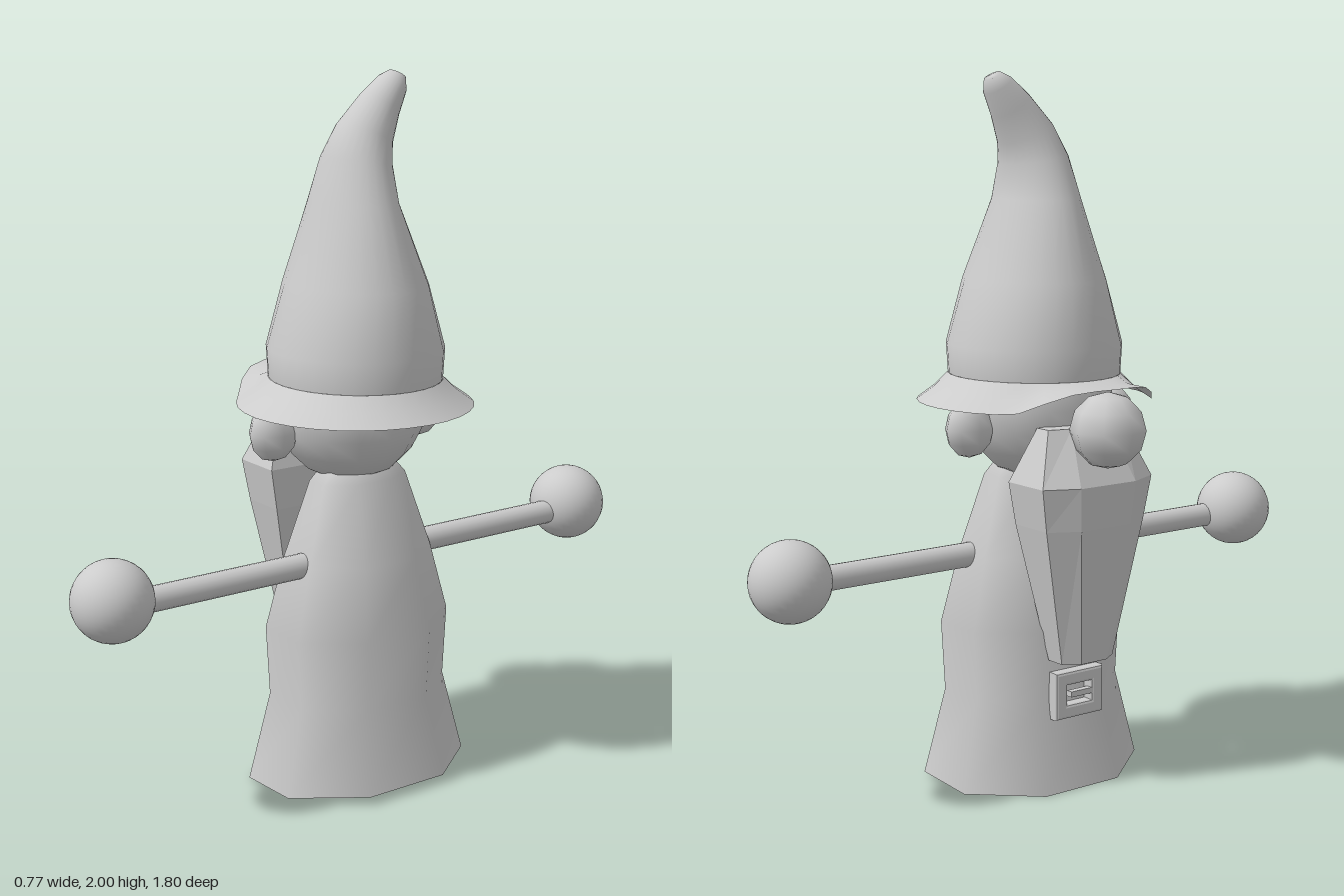
import * as THREE from 'three';

const grey = (opts = {}) => new THREE.MeshStandardMaterial({ color: 0xcccccc, ...opts });

// Skin a stack of equal-length rings (bottom to top, turning from +x towards +z)
function loft(rings, { top = false, bottom = false } = {}) {
  const n = rings[0].length;
  const pos = rings.flat(2);
  const idx = [];
  for (let r = 0; r < rings.length - 1; r++) {
    for (let i = 0; i < n; i++) {
      const a = r * n + i, b = r * n + (i + 1) % n;
      idx.push(a, a + n, b, b, a + n, b + n);
    }
  }
  const cap = (r, up) => {
    const c = pos.length / 3;
    for (let k = 0; k < 3; k++) pos.push(rings[r].reduce((s, p) => s + p[k], 0) / n);
    for (let i = 0; i < n; i++) {
      const a = r * n + i, b = r * n + (i + 1) % n;
      if (up) idx.push(c, b, a); else idx.push(c, a, b);
    }
  };
  if (top) cap(rings.length - 1, true);
  if (bottom) cap(0, false);
  const g = new THREE.BufferGeometry();
  g.setAttribute('position', new THREE.Float32BufferAttribute(pos, 3));
  g.setIndex(idx);
  g.computeVertexNormals();
  return g;
}

// Elliptical ring with n corners; tilt rotates it about x
function ring(n, cx, y, cz, rx, rz, { start = 0, tilt = 0 } = {}) {
  return Array.from({ length: n }, (_, i) => {
    const a = start + i / n * Math.PI * 2;
    const x = Math.cos(a) * rx, z = Math.sin(a) * rz;
    return [cx + x, y + z * Math.sin(tilt), cz + z * Math.cos(tilt)];
  });
}

export function createModel() {
  const model = new THREE.Group();
  const add = (name, geometry, material = grey(), parent = model) => {
    const m = new THREE.Mesh(geometry, material);
    m.name = name;
    parent.add(m);
    return m;
  };
  const open = { side: THREE.DoubleSide };

  // Eight-sided robe, open below, with a slightly slanted hem
  const k = 1 / Math.cos(Math.PI / 8);
  const robeRings = [
    [0.02, 0.24, 0.31], [0.26, 0.19, 0.25], [0.46, 0.197, 0.26],
    [0.66, 0.155, 0.21], [0.88, 0.085, 0.14], [0.95, 0.05, 0.08],
  ].map(([y, rx, rz]) => ring(8, 0.06, y, 0, rx * k, rz * k, { start: Math.PI / 8 }));
  robeRings[0].forEach(p => { p[1] = 0.013 + (p[0] - 0.06) * 0.05; });
  add('robe', loft(robeRings, { top: true }), grey(open));

  // Head
  const head = add('head', new THREE.SphereGeometry(1, 14, 10));
  head.scale.set(0.2, 0.215, 0.22);
  head.position.set(0.025, 1.08, 0);

  // Nose
  const nose = add('nose', new THREE.SphereGeometry(0.105, 8, 6));
  nose.position.set(-0.285, 1.04, 0);

  // Ears, arms and hands, mirrored in z
  for (const s of [1, -1]) {
    const side = s > 0 ? 'front' : 'back';
    const ear = add(side + 'Ear', new THREE.SphereGeometry(1, 8, 6));
    ear.scale.set(0.056, 0.08, 0.075);
    ear.position.set(0.01, 1.03, s * 0.25);

    const arm = add(side + 'Arm', new THREE.CylinderGeometry(0.035, 0.035, 0.6, 16));
    arm.rotation.x = Math.PI / 2;
    arm.position.set(0.08, 0.658, s * 0.43);

    const hand = add(side + 'Hand', new THREE.SphereGeometry(0.112, 32, 20));
    hand.position.set(0.063, 0.67, s * 0.79);
  }

  // Faceted beard: back edge, side edge and front edge x, half width
  const beardRings = [
    [0.38, -0.14, -0.2, -0.23, 0.09],
    [0.77, -0.095, -0.235, -0.28, 0.17],
    [0.89, -0.09, -0.245, -0.29, 0.19],
    [1.04, -0.14, -0.19, -0.21, 0.13],
  ].map(([y, back, side, front, w]) => [
    [back, y, w], [side, y, w], [front, y, w * 0.5],
    [front, y, -w * 0.5], [side, y, -w], [back, y, -w],
  ]);
  add('beard', loft(beardRings, { top: true, bottom: true }), grey({ flatShading: true }));

  // Hat crown bending back towards its tip
  const crown = [
    [1.165, 0, 0.255, 0.237, 0], [1.25, 0, 0.258, 0.243, 0],
    [1.43, 0, 0.232, 0.183, 0], [1.65, 0.008, 0.152, 0.108, 0],
    [1.76, -0.003, 0.11, 0.092, 0.15], [1.83, -0.03, 0.082, 0.08, 0.4],
    [1.905, -0.08, 0.06, 0.06, 0.6], [1.96, -0.123, 0.045, 0.043, 0.6],
    [1.985, -0.14, 0.025, 0.025, 0.5],
  ].map(([y, cz, rx, rz, tilt]) => ring(28, 0.047, y, cz, rx, rz, { tilt }));
  add('hatCrown', loft(crown, { top: true }), grey(open));

  // Hat brim, turned up over the nose
  const brim = [
    [1.09, 0.335, 0.33], [1.125, 0.289, 0.28], [1.165, 0.255, 0.237],
  ].map(([y, rx, rz], j) => ring(32, 0.047, y, 0, rx, rz).map(([x, py, z]) => {
    const lift = THREE.MathUtils.smoothstep((0.047 - x) / rx, 0.65, 1) * (1 - j / 2);
    return [x - lift * 0.035, py + lift * 0.065, z];
  }));
  add('hatBrim', loft(brim), grey(open));

  // Belt buckle: a frame with a prong
  const buckle = new THREE.Group();
  buckle.name = 'buckle';
  const box = (w, h) => [[-w, -h], [w, -h], [w, h], [-w, h]].map(p => new THREE.Vector2(...p));
  const frame = new THREE.Shape(box(0.075, 0.06));
  frame.holes.push(new THREE.Path(box(0.05, 0.036).reverse()));
  add('buckleFrame', new THREE.ExtrudeGeometry(frame, {
    depth: 0.025, bevelSize: 0.008, bevelThickness: 0.008, bevelSegments: 2,
  }), grey(), buckle);
  const prong = add('buckleProng', new THREE.BoxGeometry(0.09, 0.016, 0.02), grey(), buckle);
  prong.position.set(0.015, 0, 0.022);
  buckle.rotation.y = -Math.PI / 2;
  buckle.position.set(-0.135, 0.275, 0);
  model.add(buckle);

  return model;
}
